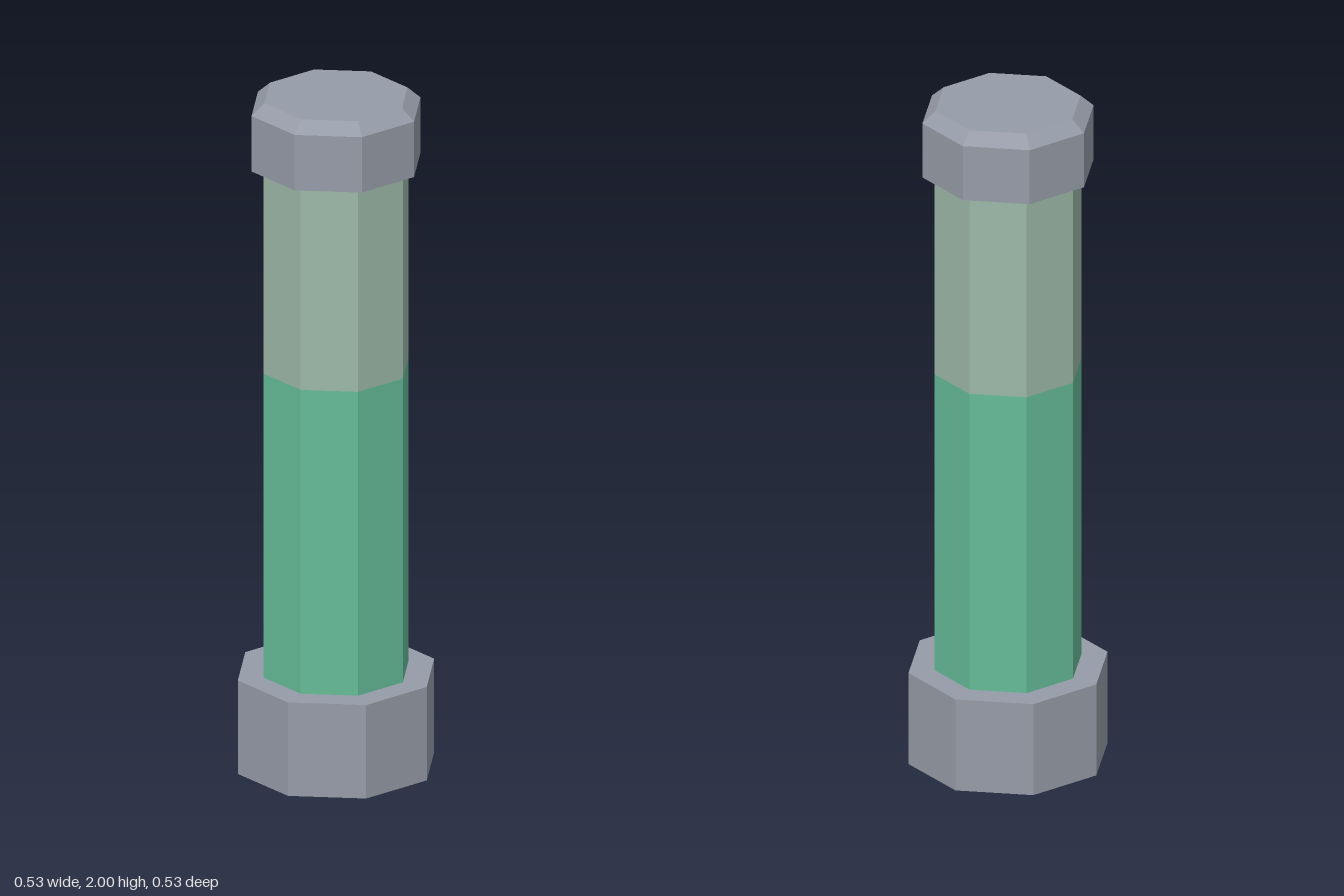
import * as THREE from 'three';

const SIDES = 8;

function material(name, color) {
  const m = new THREE.MeshStandardMaterial({ color, flatShading: true });
  m.name = name;
  return m;
}

// Octagonal section from y0 to y1; sizes are half widths across the flats.
function prism(name, mat, y0, y1, bottom, top = bottom, open = false) {
  const k = 1 / Math.cos(Math.PI / SIDES);
  const geometry = new THREE.CylinderGeometry(
    top * k, bottom * k, y1 - y0, SIDES, 1, open, Math.PI / SIDES);
  geometry.translate(0, (y0 + y1) / 2, 0);
  const mesh = new THREE.Mesh(geometry, mat);
  mesh.name = name;
  return mesh;
}

export function createModel() {
  const metal = material('grey metal', 0x969ca8);
  const liquid = material('green liquid', 0x65bc98);
  const glass = material('pale glass', 0x9cb9a8);

  const model = new THREE.Group();
  model.name = 'glassVial';

  // Heavy foot
  model.add(prism('base', metal, 0, 0.28, 0.265));

  // Tube: filled below, empty above
  model.add(prism('filledTube', liquid, 0.28, 1.19, 0.195, 0.195, true));
  model.add(prism('emptyTube', glass, 1.19, 1.8, 0.195, 0.195, true));

  // Cap with a bevelled top edge
  const cap = new THREE.Group();
  cap.name = 'cap';
  cap.add(prism('capBody', metal, 1.8, 1.966, 0.228));
  cap.add(prism('capBevel', metal, 1.966, 2, 0.228, 0.193));
  model.add(cap);

  return model;
}
